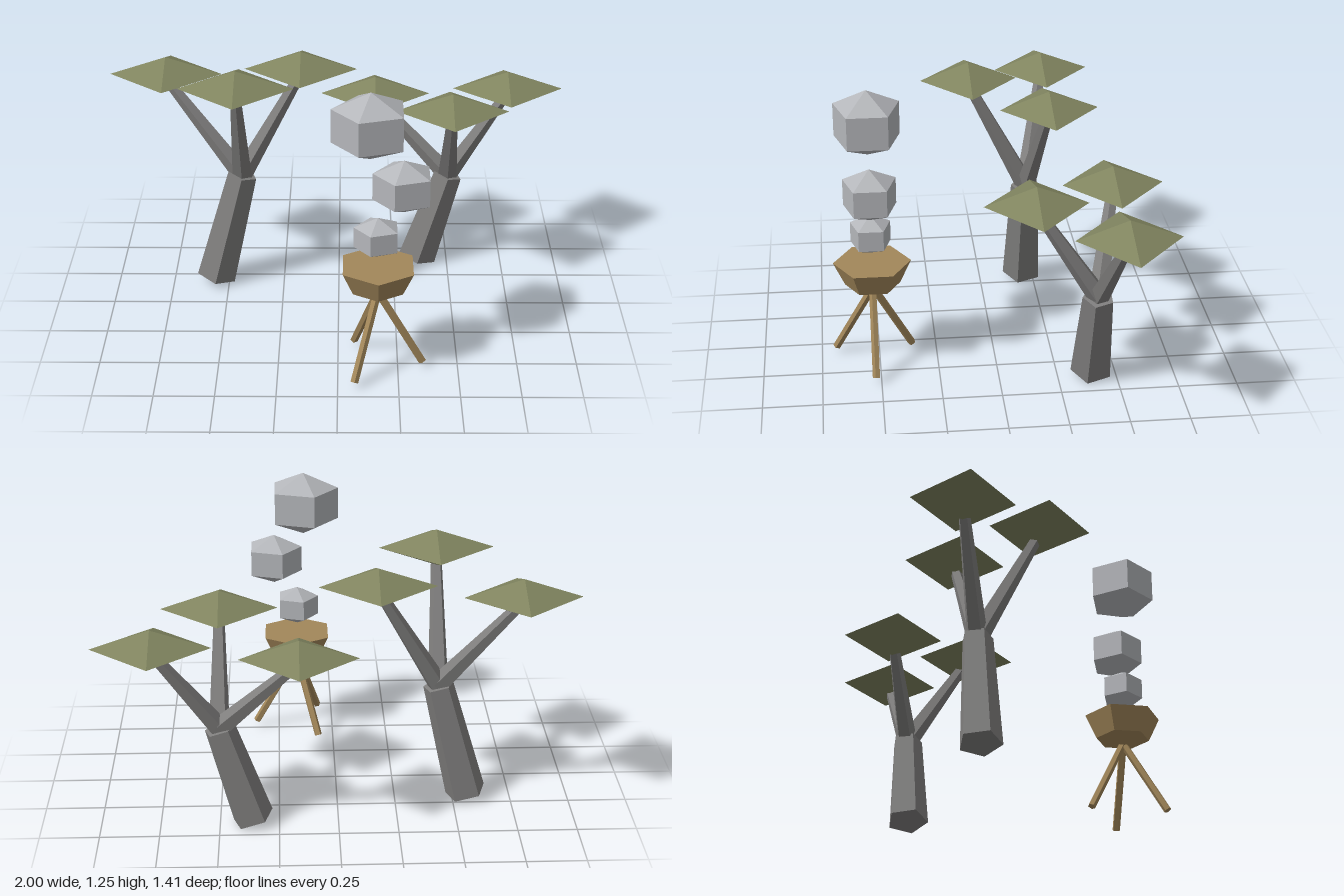
import * as THREE from 'three';

const mat = (name, color) => Object.assign(new THREE.MeshStandardMaterial({ color, flatShading: true }), { name });

export function createModel() {
  const bark = mat('grey bark', 0x807f7e);
  const leaf = mat('olive leaf', 0x80845f);
  const wood = mat('tan wood', 0xa2875a);
  const stone = mat('pale stone', 0xb4b6ba);
  const root = new THREE.Group();
  root.name = 'treesAndFloatingStones';

  const add = (parent, name, geometry, material) => {
    const mesh = new THREE.Mesh(geometry, material);
    mesh.name = name;
    parent.add(mesh);
    return mesh;
  };

  // Tapered faceted beam from point a to point b
  const beam = (parent, name, a, b, rA, rB, sides, material) => {
    const from = new THREE.Vector3(...a), dir = new THREE.Vector3(...b).sub(from);
    const mesh = add(parent, name, new THREE.CylinderGeometry(rB, rA, dir.length(), sides), material);
    mesh.position.copy(from).addScaledVector(dir, 0.5);
    mesh.quaternion.setFromUnitVectors(new THREE.Vector3(0, 1, 0), dir.normalize());
  };

  // Trees: leaning trunk, three branches, a flat diamond canopy on each
  const tree = (name, foot, crown, canopies) => {
    const group = new THREE.Group();
    group.name = name;
    beam(group, 'trunk', foot, crown, 0.09, 0.067, 5, bark);
    for (const [x, y, z] of canopies) {
      beam(group, 'branch', crown, [x, y - 0.02, z], 0.045, 0.023, 5, bark);
      const canopy = add(group, 'canopy', new THREE.OctahedronGeometry(1), leaf);
      canopy.scale.set(0.244, 0.079, 0.212);
      canopy.position.set(x, y, z);
    }
    root.add(group);
  };
  tree('tallTree', [-0.558, 0.03, -0.2], [-0.428, 0.542, -0.2],
    [[-0.757, 0.978, -0.302], [-0.43, 1.064, 0.06], [-0.166, 1.018, -0.267]]);
  tree('shortTree', [0.361, 0.028, -0.396], [0.492, 0.45, -0.396],
    [[0.162, 0.804, -0.497], [0.49, 0.877, -0.135], [0.755, 0.843, -0.465]]);

  // Hexagonal bowl on a tripod
  const brazier = new THREE.Group();
  brazier.name = 'bowlStand';
  brazier.position.set(0.163, 0, 0.521);
  root.add(brazier);
  const profile = [[0, 0.345], [0.117, 0.384], [0.165, 0.487], [0, 0.487]];
  add(brazier, 'bowl', new THREE.LatheGeometry(profile.map(p => new THREE.Vector2(...p)), 6), wood);
  for (let i = 0; i < 3; i++) {
    const a = i * Math.PI * 2 / 3;
    beam(brazier, 'leg', [Math.cos(a) * 0.19, 0.03, Math.sin(a) * 0.19], [0, 0.365, 0], 0.017, 0.017, 5, wood);
  }

  // Floating stones, growing upward
  for (const [x, y, h] of [[0.16, 0.617, 0.088], [0.262, 0.845, 0.114], [0.128, 1.108, 0.142]]) {
    const rock = add(root, 'floatingStone', new THREE.SphereGeometry(1, 5, 3), stone);
    rock.scale.set(h * 1.27, h, h * 1.165);
    rock.position.set(x, y, 0.523);
  }
  return root;
}
